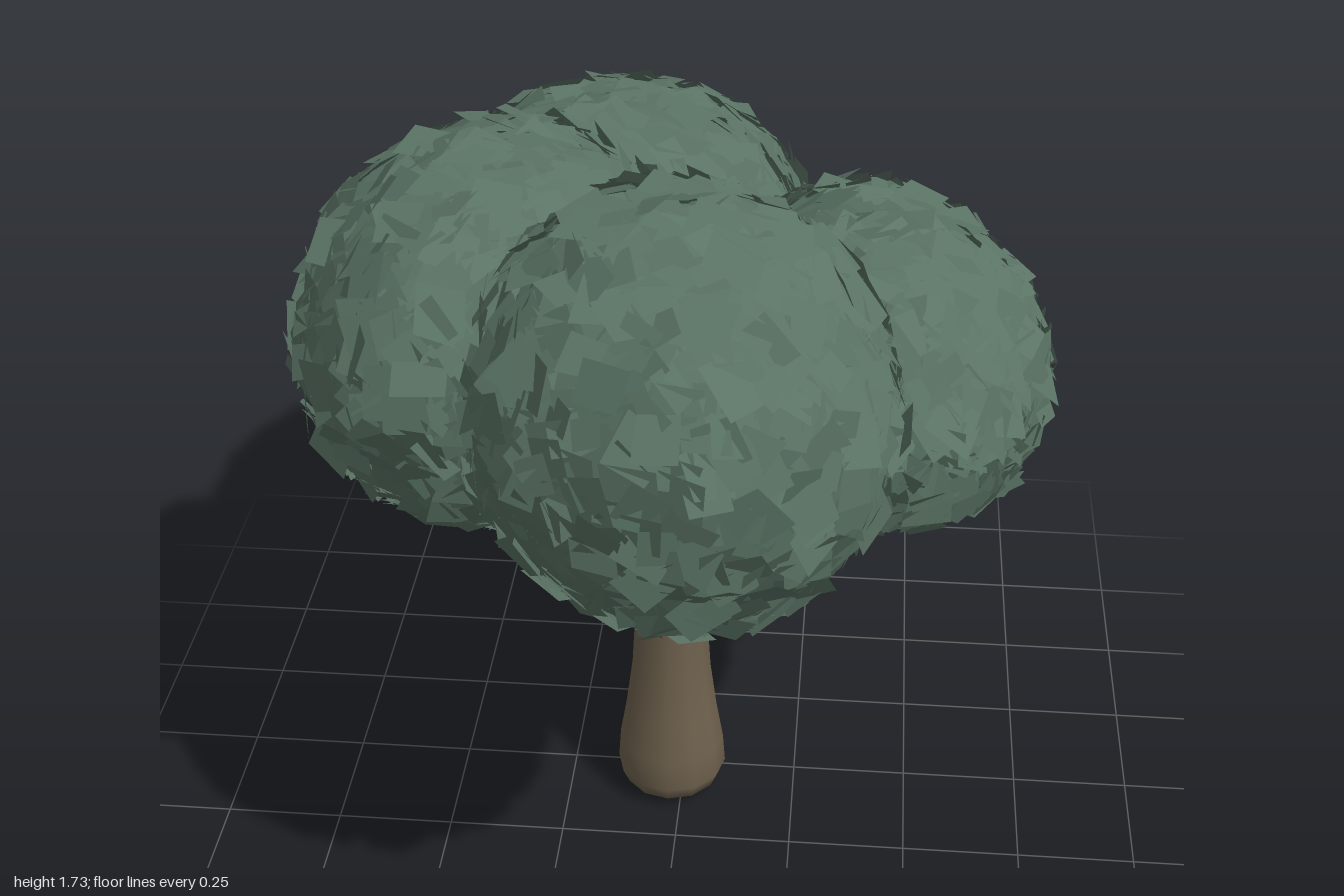
import * as THREE from 'three';

const bark = new THREE.MeshStandardMaterial({ color: 0x6e614d });
bark.name = 'bark brown';
const foliage = new THREE.MeshStandardMaterial({ color: 0x5a7364, side: THREE.DoubleSide });
foliage.name = 'foliage green';

// Canopy clumps: centre, radii and turn of each ellipsoid
const clumps = [
  { name: 'frontClump', c: [0.04, 1.305, 0.56], r: [0.395, 0.4, 0.425], turn: [0, 0.3, 0] },
  { name: 'rightClump', c: [-0.35, 1.26, 0.19], r: [0.37, 0.38, 0.5], turn: [-0.12, -0.15, 0] },
  { name: 'leftClump', c: [0.38, 1.11, 0], r: [0.345, 0.31, 0.46], turn: [0, 0.25, 0] },
  { name: 'backClump', c: [-0.175, 1.1, -0.44], r: [0.425, 0.36, 0.56], turn: [-0.18, 0, 0] },
].map(k => ({
  name: k.name,
  c: new THREE.Vector3(...k.c),
  r: new THREE.Vector3(...k.r),
  turn: new THREE.Quaternion().setFromEuler(new THREE.Euler(...k.turn)),
}));

// Distance from a clump's centre, 1 being on its surface
function depthIn(clump, point) {
  return point.clone().sub(clump.c).applyQuaternion(clump.turn.clone().invert())
    .divide(clump.r).length();
}

// Seeded random numbers
function seeded(seed) {
  return () => {
    seed = (seed * 1664525 + 1013904223) % 4294967296;
    return seed / 4294967296;
  };
}

// Round limb along a curve, its radius running through the given list
function limb(name, points, radii) {
  const curve = new THREE.CatmullRomCurve3(points.map(p => new THREE.Vector3(...p)));
  const rings = 16, sides = 12;
  const geo = new THREE.TubeGeometry(curve, rings, 1, sides);
  const pos = geo.attributes.position, v = new THREE.Vector3();
  for (let i = 0; i <= rings; i++) {
    const centre = curve.getPointAt(i / rings);
    const t = (i / rings) * (radii.length - 1);
    const k = Math.min(Math.floor(t), radii.length - 2);
    const radius = THREE.MathUtils.lerp(radii[k], radii[k + 1], t - k);
    for (let j = 0; j <= sides; j++) {
      const n = i * (sides + 1) + j;
      v.fromBufferAttribute(pos, n).sub(centre).multiplyScalar(radius).add(centre);
      pos.setXYZ(n, v.x, v.y, v.z);
    }
  }
  geo.computeVertexNormals();
  const mesh = new THREE.Mesh(geo, bark);
  mesh.name = name;
  return mesh;
}

// Overlapping, loosely tilted leaf cards lying over one ellipsoid
function leafCards(clump, seed) {
  const rand = seeded(seed), spread = a => (rand() - 0.5) * 2 * a;
  const count = 1000, verts = [], index = [];
  const dir = new THREE.Vector3(), normal = new THREE.Vector3(), p = new THREE.Vector3();
  const u = new THREE.Vector3(), w = new THREE.Vector3(), q = new THREE.Vector3();
  for (let i = 0; i < count; i++) {
    // Even spiral over the sphere
    const y = 1 - (2 * (i + 0.5)) / count, ring = Math.sqrt(1 - y * y);
    const a = i * 2.39996 + spread(0.06);
    dir.set(Math.cos(a) * ring, y, Math.sin(a) * ring);
    p.copy(dir).multiply(clump.r).multiplyScalar(0.965 + spread(0.03))
      .applyQuaternion(clump.turn).add(clump.c);
    const size = 0.04 + spread(0.009), spin = rand() * Math.PI * 2;
    const tilt = [spread(0.36), spread(0.36), spread(0.36)];
    // Leave out cards buried in a neighbouring clump
    if (clumps.some(o => o !== clump && depthIn(o, p) < 0.8)) continue;
    normal.copy(dir).divide(clump.r).normalize().applyQuaternion(clump.turn);
    normal.add(q.set(...tilt)).normalize();
    u.set(Math.cos(spin), Math.sin(spin), 0.37).cross(normal).normalize();
    w.crossVectors(normal, u);
    const base = verts.length / 3;
    for (const [s, t] of [[-1, -1], [1, -1], [1, 1], [-1, 1]]) {
      q.copy(p).addScaledVector(u, s * size * (1 + spread(0.2)))
        .addScaledVector(w, t * size * (1 + spread(0.2)));
      verts.push(q.x, q.y, q.z);
    }
    index.push(base, base + 1, base + 2, base, base + 2, base + 3);
  }
  const geo = new THREE.BufferGeometry();
  geo.setAttribute('position', new THREE.Float32BufferAttribute(verts, 3));
  geo.setIndex(index);
  geo.computeVertexNormals();
  const mesh = new THREE.Mesh(geo, foliage);
  mesh.name = 'leaves';
  return mesh;
}

export function createModel() {
  const tree = new THREE.Group();
  tree.name = 'tree';

  // Trunk with a rounded, flared foot
  const profile = [
    [0, 0], [0.07, 0.005], [0.105, 0.025], [0.12, 0.06], [0.115, 0.13], [0.1, 0.22],
    [0.086, 0.33], [0.079, 0.45], [0.078, 0.55], [0.088, 0.62], [0.1, 0.68], [0.085, 0.74],
    [0.05, 0.78], [0, 0.79],
  ].map(p => new THREE.Vector2(...p));
  const trunk = new THREE.Mesh(new THREE.LatheGeometry(profile, 12), bark);
  trunk.name = 'trunk';
  trunk.position.set(-0.025, 0, 0.055);
  tree.add(trunk);

  // Branches, one to each clump, rooted inside the trunk
  tree.add(
    limb('frontBranch',
      [[-0.025, 0.6, 0.04], [-0.02, 0.7, 0.15], [-0.015, 0.745, 0.32], [-0.015, 0.83, 0.44], [0, 1.0, 0.5]],
      [0.04, 0.09, 0.076, 0.066, 0.05]),
    limb('backBranch',
      [[-0.025, 0.6, 0.06], [-0.06, 0.66, -0.05], [-0.12, 0.675, -0.22], [-0.16, 0.73, -0.38], [-0.18, 0.87, -0.48]],
      [0.04, 0.075, 0.058, 0.052, 0.045]),
    limb('leftBranch',
      [[-0.04, 0.62, 0.055], [0.05, 0.71, 0.055], [0.16, 0.745, 0.05], [0.27, 0.79, 0.04], [0.35, 0.93, 0.02]],
      [0.04, 0.074, 0.056, 0.054, 0.045]),
    limb('rightBranch',
      [[-0.02, 0.6, 0.055], [-0.09, 0.69, 0.09], [-0.19, 0.78, 0.16], [-0.27, 0.89, 0.21], [-0.32, 1.02, 0.22]],
      [0.04, 0.075, 0.06, 0.05, 0.045]),
  );

  // Canopy: a hidden core under each layer of leaves
  clumps.forEach((clump, i) => {
    const group = new THREE.Group();
    group.name = clump.name;
    const core = new THREE.Mesh(new THREE.SphereGeometry(1, 28, 18), foliage);
    core.name = 'core';
    core.position.copy(clump.c);
    core.quaternion.copy(clump.turn);
    core.scale.copy(clump.r).multiplyScalar(0.88);
    group.add(core, leafCards(clump, 11 + i * 97));
    tree.add(group);
  });
  return tree;
}
